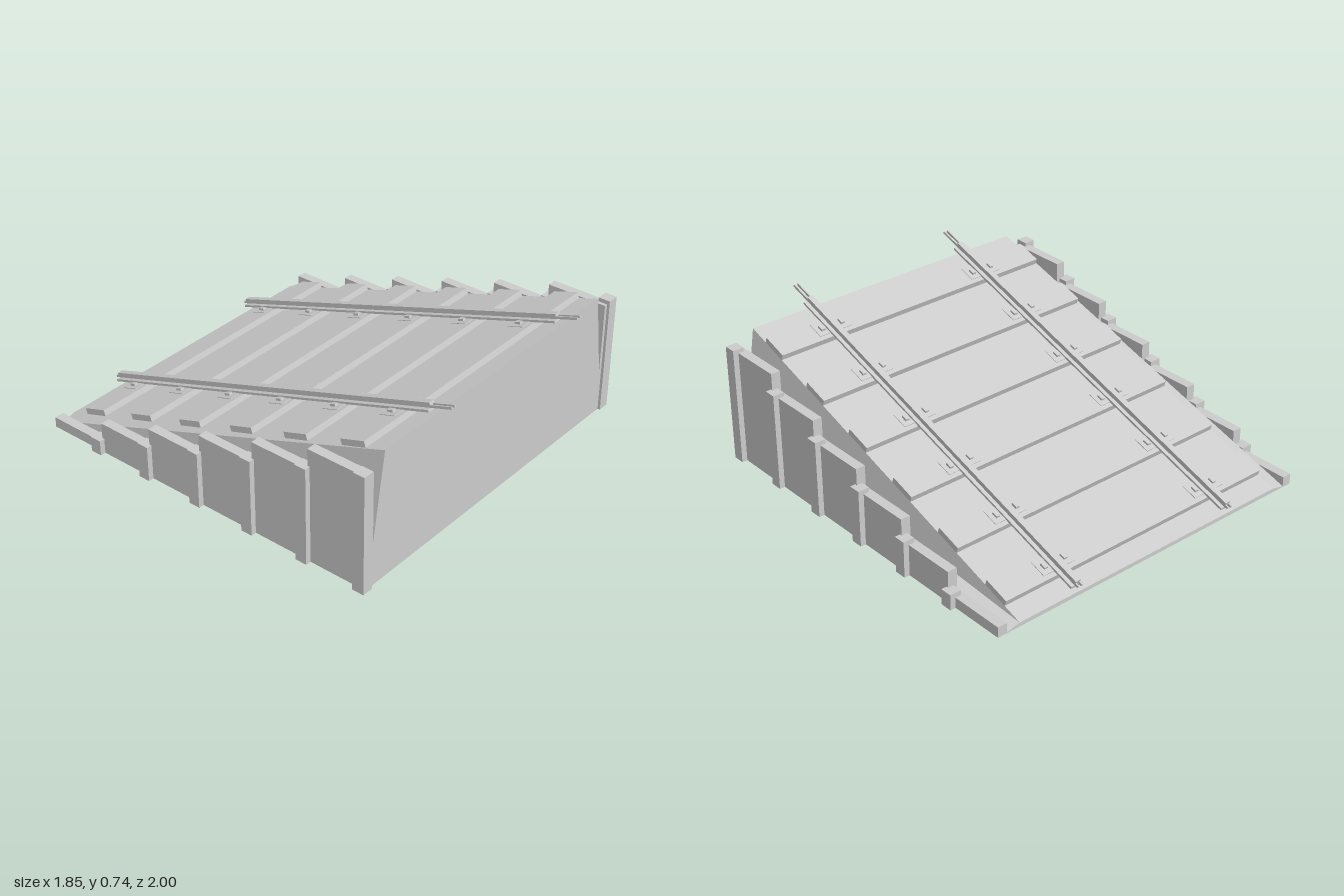
import * as THREE from 'three';

const concrete = new THREE.MeshStandardMaterial({ color: 0xcccccc });
concrete.name = 'light grey';

function box(parent, name, w, h, d, x, y, z) {
  const mesh = new THREE.Mesh(new THREE.BoxGeometry(w, h, d), concrete);
  mesh.name = name;
  mesh.position.set(x, y, z);
  parent.add(mesh);
  return mesh;
}

// Solid between two matching cross-sections (anticlockwise seen from +z)
function loft(front, zFront, back, zBack) {
  const pos = [];
  const tri = (...pts) => pts.forEach((p) => pos.push(...p));
  const f = front.map(([x, y]) => [x, y, zFront]);
  const b = back.map(([x, y]) => [x, y, zBack]);
  const n = f.length;
  for (let i = 0; i < n; i++) {
    const j = (i + 1) % n;
    tri(f[i], b[i], b[j]);
    tri(f[i], b[j], f[j]);
    if (i > 0 && i < n - 1) {
      tri(f[0], f[i], f[i + 1]);
      tri(b[0], b[i + 1], b[i]);
    }
  }
  const geo = new THREE.BufferGeometry();
  geo.setAttribute('position', new THREE.Float32BufferAttribute(pos, 3));
  geo.computeVertexNormals();
  return geo;
}

const section = (low, top) => [
  [-0.85, 0], [0.85, 0], [0.85, low], [0.78, top], [-0.78, top], [-0.85, low],
];

export function createModel() {
  const model = new THREE.Group();
  model.name = 'railRamp';

  // Embankment with bevelled shoulders
  const bank = new THREE.Mesh(loft(section(0.22, 0.65), 0.9, section(0.005, 0.02), -0.98), concrete);
  bank.name = 'embankment';
  model.add(bank);

  // Stepped retaining walls with posts
  const walls = new THREE.Group();
  walls.name = 'retainingWalls';
  model.add(walls);
  for (const s of [1, -1]) {
    for (let i = 0; i < 6; i++) {
      const z = 0.883 - i * 0.312;
      const postH = 0.6 - i * 0.1045;
      const panelH = 0.58 - i * 0.1055;
      const zFront = i === 0 ? 0.9 : z + 0.018;
      const zBack = i === 5 ? -0.98 : z - 0.294;
      box(walls, 'post', 0.058, postH, 0.06, s * 0.897, postH / 2, z);
      box(walls, 'wallPanel', 0.048, panelH, zFront - zBack, s * 0.874, panelH / 2, (zFront + zBack) / 2);
    }
  }

  // Track lies in a frame tilted to the slope
  const track = new THREE.Group();
  track.name = 'track';
  track.position.set(0, 0.335, -0.04);
  track.rotation.x = -Math.atan(0.335);
  model.add(track);

  for (let i = 0; i < 6; i++) {
    const z = 0.82 - i * 0.329;
    box(track, 'sleeper', 1.56, 0.045, 0.132, 0, 0.0075, z);
    for (const s of [1, -1]) {
      box(track, 'tiePlate', 0.18, 0.003, 0.085, s * 0.46, 0.0315, z);
      for (const e of [1, -1]) {
        box(track, 'railClip', 0.02, 0.012, 0.03, s * 0.46 + e * 0.056, 0.038, z - 0.002);
      }
    }
  }

  // Rails: foot, web and head, with slim joint bars running past the ends
  for (const s of [1, -1]) {
    const rail = new THREE.Group();
    rail.name = 'rail';
    rail.position.x = s * 0.46;
    track.add(rail);
    box(rail, 'railFoot', 0.064, 0.011, 1.98, 0, 0.0365, 0.01);
    box(rail, 'railWeb', 0.012, 0.016, 1.98, 0, 0.049, 0.01);
    box(rail, 'railHead', 0.03, 0.012, 1.98, 0, 0.062, 0.01);
    for (const e of [1, -1]) {
      box(rail, 'jointBar', 0.007, 0.012, 2.11, e * 0.0105, 0.05, 0.058);
    }
  }
  return model;
}
